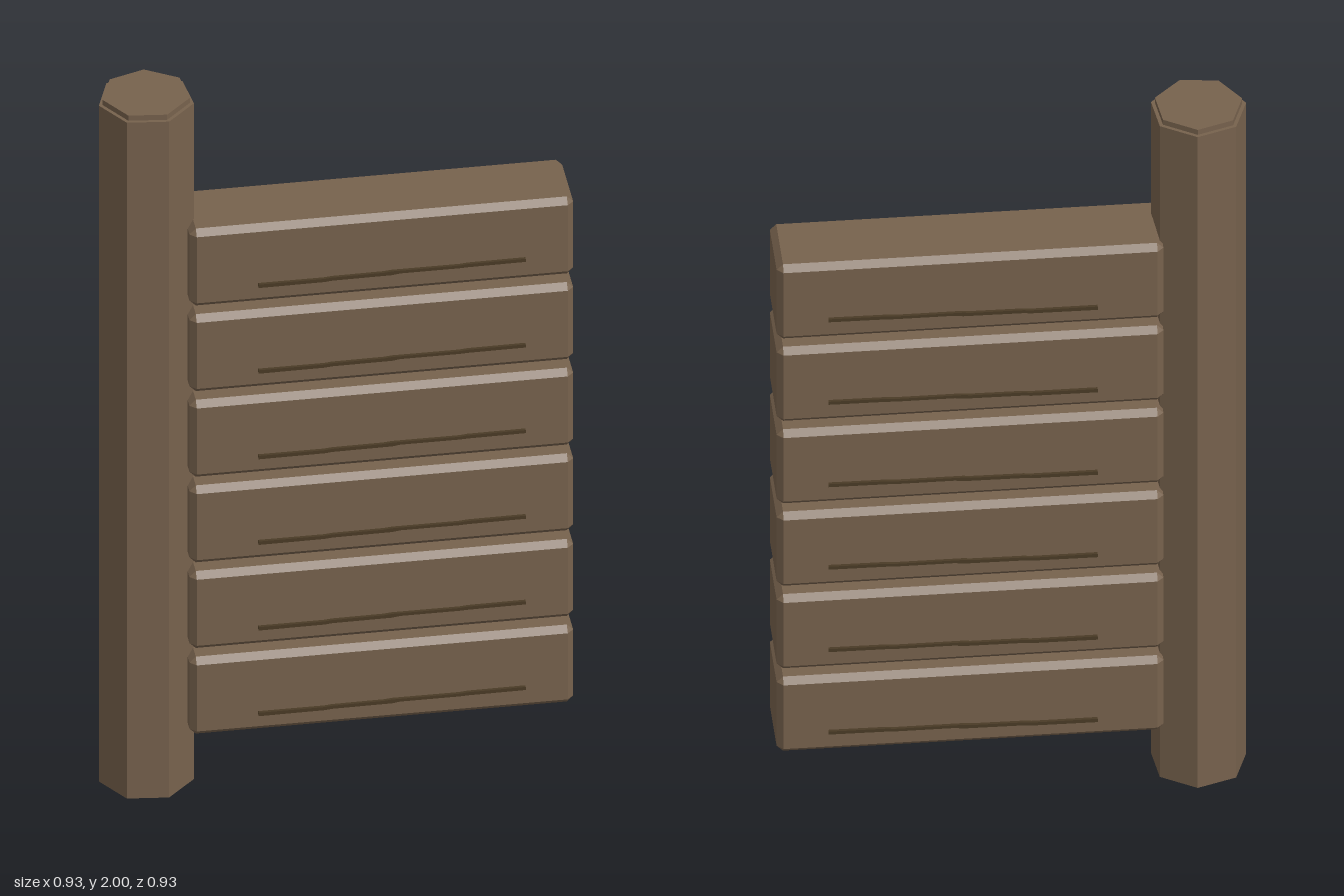
import * as THREE from 'three';
import { ConvexGeometry } from 'three/addons/geometries/ConvexGeometry.js';

// Box with every edge cut at 45 degrees
function chamferedBox(w, h, d, c) {
  const points = [];
  for (const sx of [-1, 1]) for (const sy of [-1, 1]) for (const sz of [-1, 1]) {
    const x = w / 2, y = h / 2, z = d / 2;
    points.push(
      new THREE.Vector3(sx * x, sy * (y - c), sz * (z - c)),
      new THREE.Vector3(sx * (x - c), sy * y, sz * (z - c)),
      new THREE.Vector3(sx * (x - c), sy * (y - c), sz * z),
    );
  }
  return new ConvexGeometry(points);
}

// Thin jagged sliver that reads as a crack in the wood
function crackGeometry(thickness) {
  const outline = [
    [-0.335, -0.009], [-0.17, -0.008], [-0.15, -0.006], [0, -0.005], [0.02, -0.002],
    [0.17, -0.002], [0.19, -0.001], [0.335, 0], [0.335, 0.009],
    [0.19, 0.008], [0.17, 0.006], [0, 0.006], [-0.02, 0.004],
    [-0.15, 0.003], [-0.17, 0.001], [-0.335, 0.001],
  ].map(([x, y]) => new THREE.Vector2(x, y));
  const geometry = new THREE.ExtrudeGeometry(new THREE.Shape(outline), { depth: thickness, bevelEnabled: false });
  return geometry.translate(0, 0, -thickness / 2);
}

export function createModel() {
  const model = new THREE.Group();
  model.name = 'plankShutter';

  const wood = new THREE.MeshStandardMaterial({ color: 0x77624d, flatShading: true });
  wood.name = 'brown wood';
  const dark = new THREE.MeshStandardMaterial({ color: 0x4a3b26, flatShading: true });
  dark.name = 'dark crack';

  // Seven-sided post with a slightly narrower step at its top
  const post = new THREE.Group();
  post.name = 'post';
  post.position.set(-0.345, 0, -0.344);
  post.rotation.y = Math.PI;
  const shaft = new THREE.Mesh(new THREE.CylinderGeometry(0.121, 0.121, 1.985, 7), wood);
  shaft.name = 'postShaft';
  shaft.position.y = 1.985 / 2;
  const cap = new THREE.Mesh(new THREE.CylinderGeometry(0.111, 0.111, 0.015, 7), wood);
  cap.name = 'postTop';
  cap.position.y = 1.9925;
  post.add(shaft, cap);
  model.add(post);

  // Six planks swung out diagonally, each with a crack on both faces
  const plankGeometry = chamferedBox(0.963, 0.226, 0.203, 0.016);
  const crack = crackGeometry(0.008);
  for (let i = 0; i < 6; i++) {
    const plank = new THREE.Group();
    plank.name = `plank${i + 1}`;
    plank.position.set(0.0635, 0.275 + i * 0.2515, 0.0635);
    plank.rotation.y = -Math.PI / 4;
    const board = new THREE.Mesh(plankGeometry, wood);
    board.name = 'board';
    plank.add(board);
    for (const side of [-1, 1]) {
      const mesh = new THREE.Mesh(crack, dark);
      mesh.name = side > 0 ? 'frontCrack' : 'backCrack';
      mesh.position.set(0.021, -0.043, side * 0.122);
      plank.add(mesh);
    }
    model.add(plank);
  }
  return model;
}
